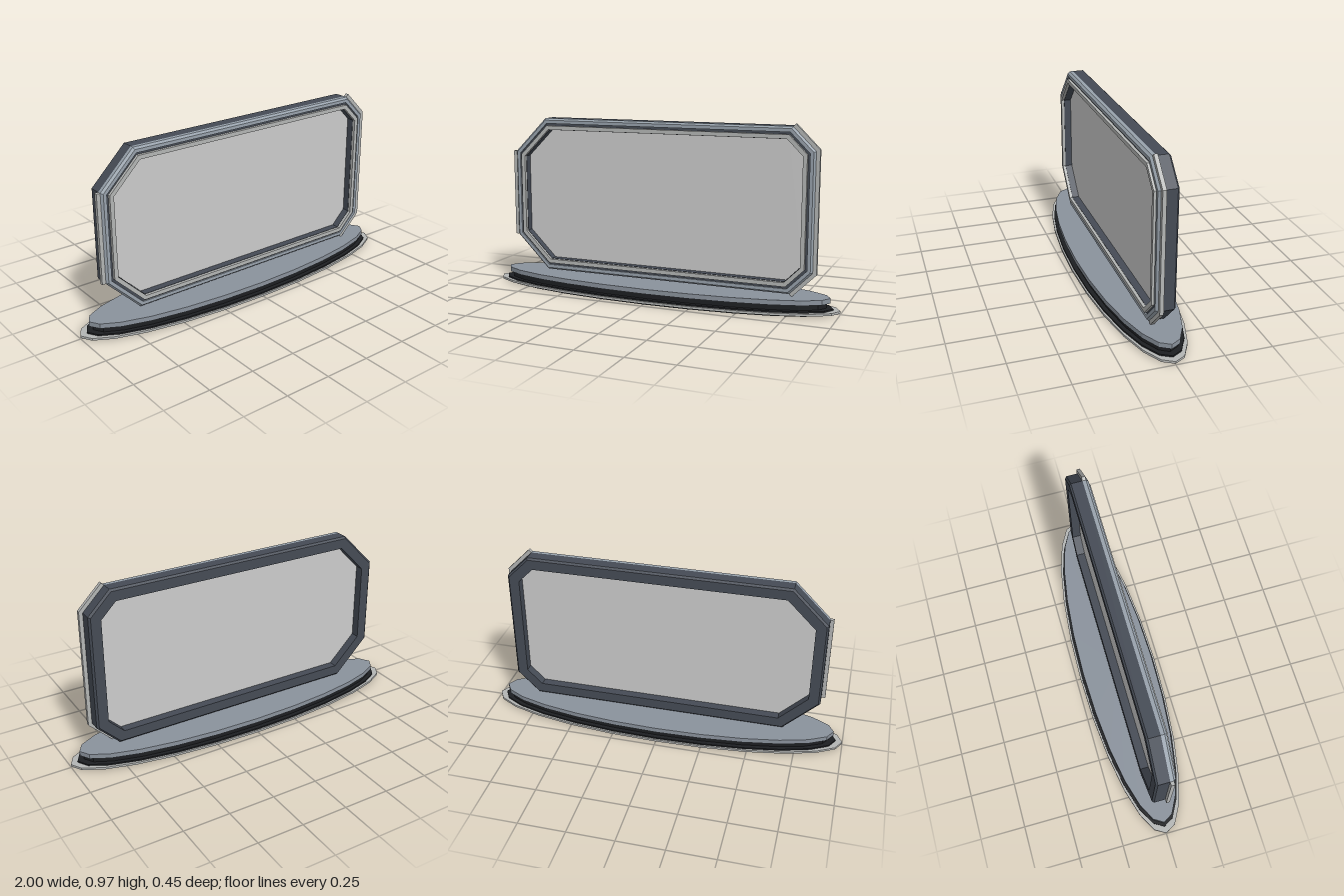
import * as THREE from 'three';

const W = 0.86, H = 0.431, CY = 0.522;   // half width, half height, centre height of the panel
const CUT_L = 0.19, CUT_R = 0.12;        // corner cuts on the -x and +x sides

const mat = (color) => new THREE.MeshStandardMaterial({ color, flatShading: true });
const dark = mat(0x454b55), bezelGrey = mat(0x98a2ac), plateGrey = mat(0x8a929c);
const black = mat(0x1d1f22), light = mat(0xb4b6b5), pale = mat(0xcccccc);

// Corners of the panel outline, moved inwards by d, counter-clockwise from the front
function outline(d) {
  const w = W - d, h = H - d, k = d * (2 - Math.SQRT2);
  const l = CUT_L - k, r = CUT_R - k;
  return [
    [w, -h + r], [w, h - r], [w - r, h], [-w + l, h],
    [-w, h - l], [-w, -h + l], [-w + l, -h], [w - r, -h],
  ];
}

// Closed ring: a profile of [inset, z] swept around the outline
function ring(name, profile, material) {
  const loops = profile.map(([d, z]) => outline(d).map(([x, y]) => [x, y + CY, z]));
  const pos = [];
  for (let j = 0; j < loops.length; j++) {
    const p = loops[j], q = loops[(j + 1) % loops.length];
    for (let i = 0; i < 8; i++) {
      const n = (i + 1) % 8;
      pos.push(...p[i], ...p[n], ...q[i], ...p[n], ...q[n], ...q[i]);
    }
  }
  const g = new THREE.BufferGeometry();
  g.setAttribute('position', new THREE.Float32BufferAttribute(pos, 3));
  g.computeVertexNormals();
  return named(name, g, material);
}

function named(name, geometry, material) {
  const m = new THREE.Mesh(geometry, material);
  m.name = name;
  return m;
}

// Flat shape from points, extruded from z0 to z1
function slab(name, points, z0, z1, material) {
  const shape = new THREE.Shape(points.map(([x, y]) => new THREE.Vector2(x, y + CY)));
  const g = new THREE.ExtrudeGeometry(shape, { depth: z1 - z0, bevelEnabled: false });
  g.translate(0, 0, z0);
  return named(name, g, material);
}

// Elliptical layer of the base
function layer(name, rx, rz, y0, y1, material) {
  const g = new THREE.CylinderGeometry(1, 1, y1 - y0, 24);
  g.rotateY(Math.PI / 2);
  g.scale(rx, 1, rz);
  g.translate(0, (y0 + y1) / 2, 0);
  return named(name, g, material);
}

export function createModel() {
  const model = new THREE.Group();

  // Base: stacked ellipses
  const base = new THREE.Group();
  base.name = 'base';
  base.add(
    layer('baseFoot', 0.963, 0.218, 0, 0.026, black),
    layer('baseRim', 1, 0.227, 0.006, 0.018, light),
    layer('baseCore', 0.927, 0.193, 0.026, 0.055, black),
    layer('baseTopPlate', 0.948, 0.206, 0.054, 0.08, plateGrey),
  );

  // Panel: dark frame, front bezel, thin inner trim and the recessed pane
  const panel = new THREE.Group();
  panel.name = 'panel';
  panel.add(
    ring('frame', [[0.01, -0.051], [0, -0.041], [0, 0.021], [0.028, 0.021],
      [0.028, 0.044], [0.064, 0.044], [0.064, -0.051]], dark),
    ring('bezel', [[0, 0.021], [0, 0.04], [0.01, 0.052], [0.028, 0.052], [0.028, 0.021]], bezelGrey),
    ring('innerTrim', [[0.04, 0.044], [0.04, 0.06], [0.062, 0.06], [0.062, 0.044]], light),
    slab('pane', outline(0.063), -0.004, 0.004, pale),
  );

  // Side strips: a straight one on -x, a bent one around the corners on +x
  const t = 0.02, s = t * Math.SQRT1_2, k = t * Math.tan(Math.PI / 8);
  const yl = H - CUT_L, yr = H - CUT_R, xr = W - CUT_R;
  panel.add(
    slab('leftEdgeStrip', [[-W - t, -yl], [-W, -yl], [-W, yl], [-W - t, yl]], 0.02, 0.04, light),
    slab('rightEdgeStrip', [
      [xr, -H], [xr + s, -H - s], [W + t, -yr - k], [W + t, yr + k],
      [xr + s, H + s], [xr, H], [W, yr], [W, -yr],
    ], 0.02, 0.04, light),
  );

  model.add(base, panel);
  return model;
}
